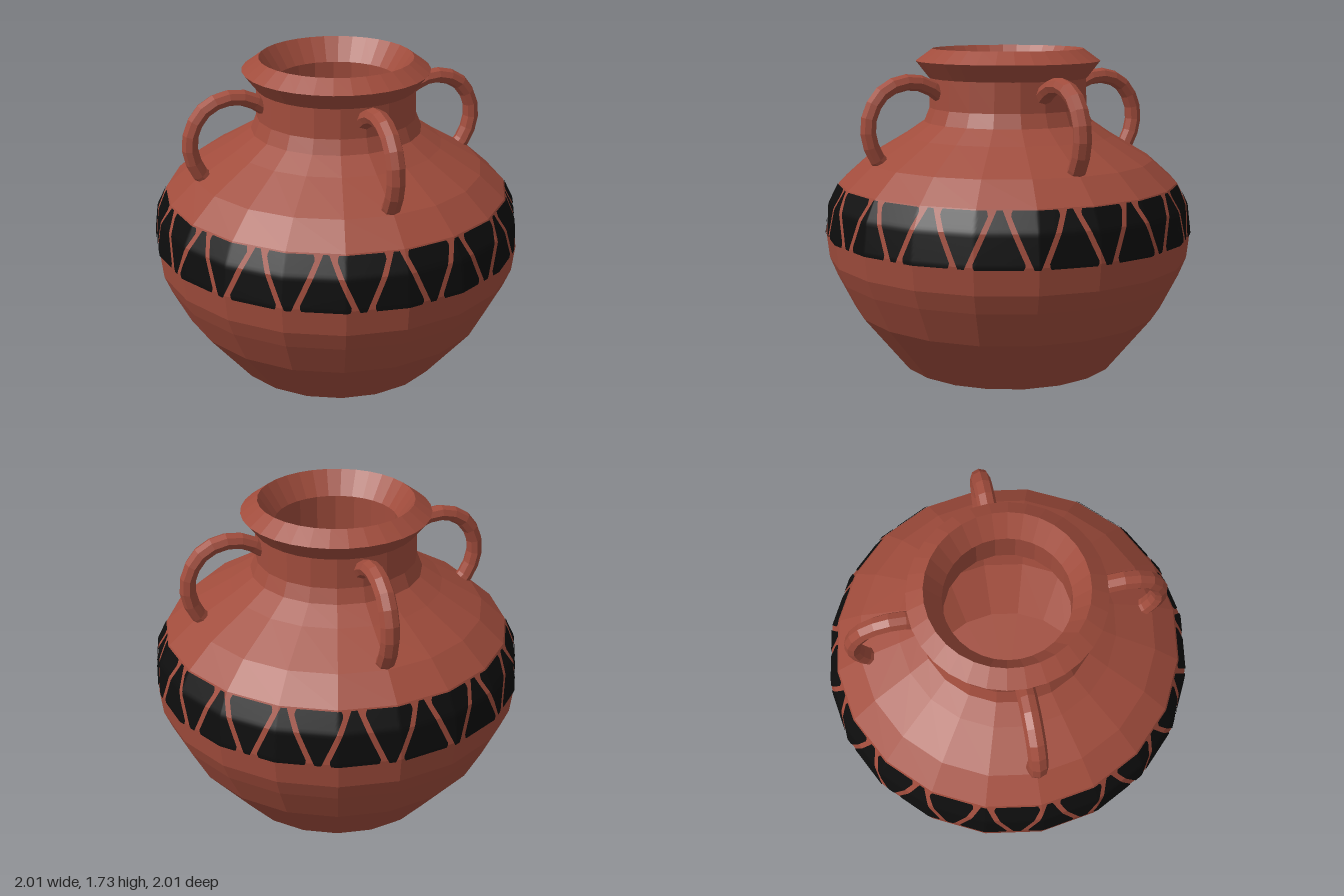
import * as THREE from 'three';

const SIDES = 20;

// Outer wall of the body as [radius, height]
const WALL = [
  [0.6, 0], [0.85, 0.31], [0.945, 0.5], [0.985, 0.6], [1.0, 0.74], [0.98, 0.9], [0.925, 1.01],
  [0.79, 1.13], [0.57, 1.26], [0.46, 1.335], [0.43, 1.41], [0.425, 1.58],
];

function faceted(geometry) {
  const g = geometry.index ? geometry.toNonIndexed() : geometry;
  g.computeVertexNormals();
  return g;
}

function lathe(points, sides) {
  return faceted(new THREE.LatheGeometry(points.map(([r, y]) => new THREE.Vector2(r, y)), sides));
}

// Distance from the axis to the faceted wall at a height and angle
function wallRadius(y, angle) {
  let i = 0;
  while (i < WALL.length - 2 && WALL[i + 1][1] < y) i++;
  const [r0, y0] = WALL[i], [r1, y1] = WALL[i + 1];
  const r = THREE.MathUtils.lerp(r0, r1, (y - y0) / (y1 - y0));
  const step = (2 * Math.PI) / SIDES;
  const local = THREE.MathUtils.euclideanModulo(angle, step) - step / 2;
  return (r * Math.cos(step / 2)) / Math.cos(local);
}

// Painted triangle with blunted corners that follows the wall
function paintedTriangle(centre, wideAtTop) {
  const g = new THREE.PlaneGeometry(1, 1, 24, 20);
  const p = g.attributes.position;
  for (let i = 0; i < p.count; i++) {
    const v = p.getY(i) + 0.5;
    const t = wideAtTop ? 1 - v : v; // 0 at the wide end
    const round = 0.02 * Math.max(0, 1 - t / 0.08);
    const half = THREE.MathUtils.lerp(0.138, 0.016, t) - round;
    const angle = centre + p.getX(i) * 2 * half;
    const y = THREE.MathUtils.lerp(0.73, 1.005, v);
    const r = wallRadius(y, angle) + 0.005;
    p.setXYZ(i, r * Math.sin(angle), y, r * Math.cos(angle));
  }
  g.computeVertexNormals();
  return g;
}

export function createModel() {
  const clay = new THREE.MeshStandardMaterial({ color: 0xa04c3c });
  clay.name = 'terracotta';
  const paint = new THREE.MeshStandardMaterial({ color: 0x0d0d0d });
  paint.name = 'black paint';

  const model = new THREE.Group();
  model.name = 'pot';
  const add = (parent, name, geometry, material) => {
    const mesh = new THREE.Mesh(geometry, material);
    mesh.name = name;
    parent.add(mesh);
    return mesh;
  };

  // Body with its flat base
  add(model, 'body', lathe([[0, 0], ...WALL], SIDES), clay);

  // Flared rim
  add(model, 'rim', lathe([[0.41, 1.57], [0.43, 1.57], [0.5, 1.66], [0.41, 1.725], [0.325, 1.6]], 32), clay);

  // Hollow inside, from the mouth down to the floor
  add(model, 'inside', lathe([
    [0.33, 1.6], [0.33, 1.4], [0.45, 1.22], [0.7, 1.08], [0.9, 0.74], [0.76, 0.34], [0.54, 0.06], [0, 0.06],
  ], SIDES), clay);

  // Four loop handles
  const path = new THREE.CatmullRomCurve3([
    [0.39, 1.48], [0.48, 1.54], [0.585, 1.56], [0.71, 1.52], [0.79, 1.415],
    [0.808, 1.3], [0.77, 1.18], [0.71, 1.11],
  ].map(([x, y]) => new THREE.Vector3(x, y, 0)));
  const handle = new THREE.TubeGeometry(path, 11, 0.043, 8);
  handle.scale(1, 1, 1.15);
  const handleGeometry = faceted(handle);
  for (let i = 0; i < 4; i++) {
    add(model, 'handle', handleGeometry, clay).rotation.y = (i * Math.PI) / 2;
  }

  // Band of alternating triangles
  const band = new THREE.Group();
  band.name = 'triangleBand';
  model.add(band);
  const count = 17;
  for (let i = 0; i < count * 2; i++) {
    const angle = -0.045 + (i * Math.PI) / count;
    add(band, 'paintedTriangle', paintedTriangle(angle, i % 2 === 1), paint);
  }
  return model;
}
